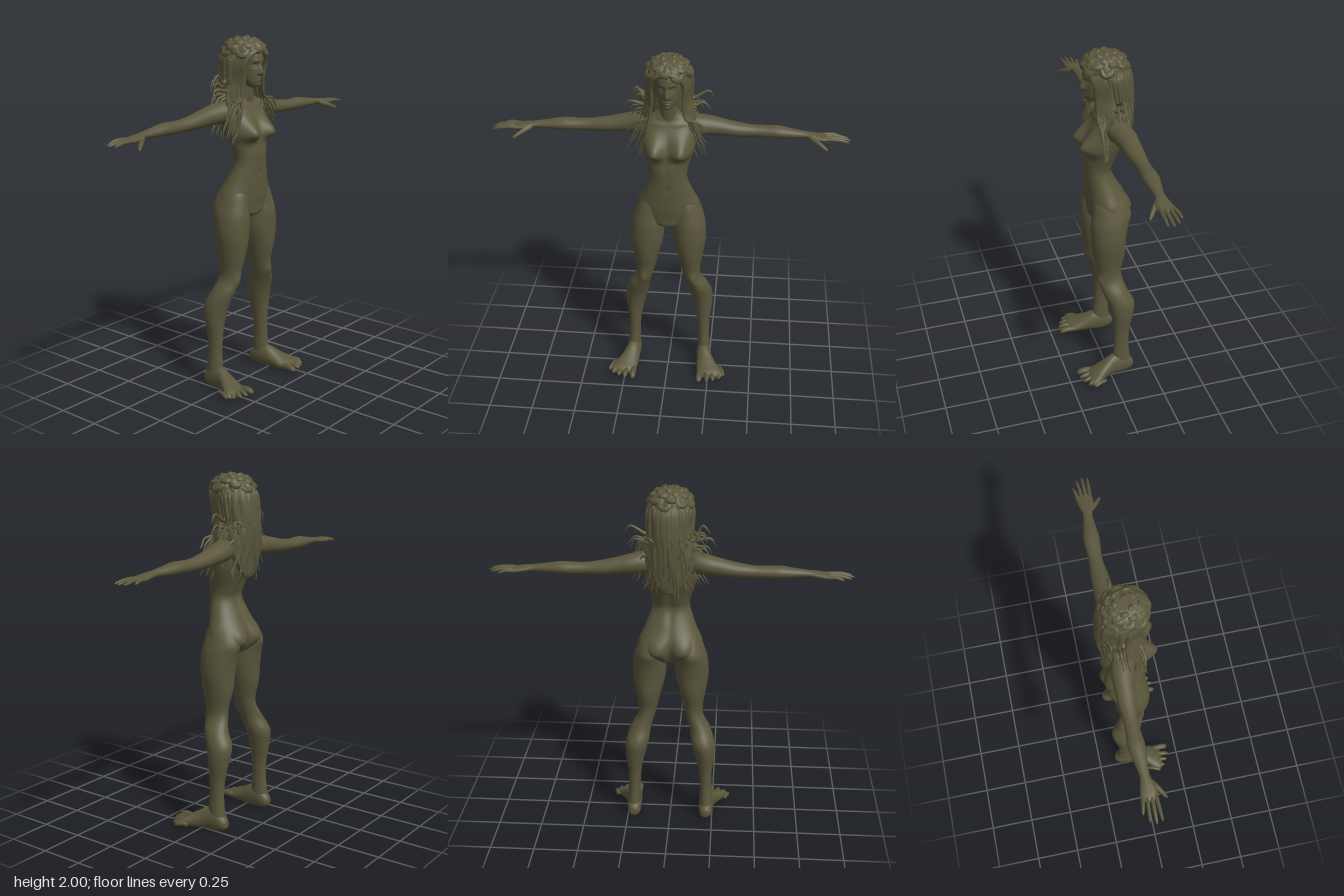
import * as THREE from 'three';
import { mergeGeometries } from 'three/addons/utils/BufferGeometryUtils.js';

const V = (x, y, z) => new THREE.Vector3(x, y, z);
const g = (d, s) => Math.exp(-(d * d) / (s * s));
// bell that falls off differently above and below its centre
const bell = (d, up, down) => g(d, d > 0 ? up : down);

let seed = 7;
const rnd = () => (seed = (seed * 16807) % 2147483647) / 2147483647;

// Closed skin over elliptical sections [x, y, z, ra, rb] rising along an axis (0 x, 1 y, 2 z).
// ra lies along the axis before it in cyclic order, rb along the one after it.
function loft(axis, rows, n = 32, steps = 40, deform) {
  const mid = new THREE.CatmullRomCurve3(rows.map(r => V(r[0], r[1], r[2])), false, 'catmullrom');
  const rad = new THREE.CatmullRomCurve3(rows.map(r => V(r[3], r[4], 0)), false, 'catmullrom');
  const A = (axis + 2) % 3, B = (axis + 1) % 3, pos = [], idx = [];
  for (let i = -1; i <= steps + 1; i++) {
    const t = Math.min(1, Math.max(0, i / steps));
    const c = mid.getPoint(t), r = rad.getPoint(t), end = i < 0 || i > steps ? 0 : 1;
    for (let j = 0; j < n; j++) {
      const a = (j / n) * Math.PI * 2, p = c.clone();
      p.setComponent(A, c.getComponent(A) + end * r.x * Math.cos(a));
      p.setComponent(B, c.getComponent(B) + end * r.y * Math.sin(a));
      if (deform && end) deform(p, c);
      pos.push(p.x, p.y, p.z);
    }
  }
  for (let i = 0; i < steps + 2; i++) for (let j = 0; j < n; j++) {
    const a = i * n + j, b = i * n + (j + 1) % n;
    idx.push(a, a + n, b, b, a + n, b + n);
  }
  const geo = new THREE.BufferGeometry();
  geo.setAttribute('position', new THREE.Float32BufferAttribute(pos, 3));
  geo.setIndex(idx);
  geo.computeVertexNormals();
  return geo;
}

// Tube along points whose radius follows a rule; flat squashes it against the head
function strand(points, radius, seg = 14, sides = 7, flat = 0) {
  const curve = new THREE.CatmullRomCurve3(points);
  const geo = new THREE.TubeGeometry(curve, seg, 1, sides, false);
  const p = geo.attributes.position, v = V(0, 0, 0);
  for (let i = 0; i <= seg; i++) {
    const c = curve.getPointAt(i / seg), r = radius(i / seg);
    const out = V(c.x, 0, c.z + 0.04).normalize();
    for (let j = 0; j <= sides; j++) {
      const k = i * (sides + 1) + j;
      v.fromBufferAttribute(p, k).sub(c).multiplyScalar(r);
      v.addScaledVector(out, -flat * v.dot(out)).add(c);
      p.setXYZ(k, v.x, v.y, v.z);
    }
  }
  geo.computeVertexNormals();
  return geo;
}

function mirror(geo) {
  const m = geo.clone().scale(-1, 1, 1), ix = m.index;
  for (let i = 0; i < ix.count; i += 3) {
    const a = ix.getX(i);
    ix.setX(i, ix.getX(i + 1));
    ix.setX(i + 1, a);
  }
  m.computeVertexNormals();
  return m;
}

export function createModel() {
  const model = new THREE.Group();
  const clay = new THREE.MeshStandardMaterial({ color: 0x5a563c });
  clay.name = 'olive clay';
  const add = (name, geo) => {
    const m = new THREE.Mesh(geo, clay);
    m.name = name;
    model.add(m);
  };
  const pair = (name, geo) => { add('left' + name, geo); add('right' + name, mirror(geo)); };

  // Torso with chest, collar bones, spine and seat shaped by soft bumps
  add('torso', loft(1, [
    [0, 0.985, -0.025, 0.02, 0.04], [0, 1.01, -0.025, 0.1, 0.085], [0, 1.06, -0.035, 0.172, 0.103],
    [0, 1.12, -0.03, 0.178, 0.107], [0, 1.2, -0.012, 0.143, 0.095], [0, 1.3, 0.012, 0.108, 0.077],
    [0, 1.36, 0.007, 0.11, 0.085], [0, 1.42, -0.008, 0.128, 0.093], [0, 1.48, -0.025, 0.145, 0.1],
    [0, 1.54, -0.04, 0.155, 0.095], [0, 1.6, -0.05, 0.16, 0.078], [0, 1.64, -0.052, 0.115, 0.063],
    [0, 1.68, -0.045, 0.06, 0.052], [0, 1.72, -0.03, 0.045, 0.047]], 72, 90, (p, c) => {
    const x = Math.abs(p.x);
    if (p.z > c.z) {
      p.z += 0.066 * g(x - 0.078, 0.052) * bell(p.y - 1.475, 0.075, 0.038);
      p.z += 0.006 * g(p.y - 1.615 - x * 0.1, 0.012) * g(x - 0.08, 0.06);
      p.z -= 0.008 * g(x, 0.012) * g(p.y - 1.255, 0.012);
      p.z -= 0.005 * g(x, 0.018) * g(p.y - 1.36, 0.08);
    } else {
      p.z -= 0.034 * g(x - 0.085, 0.065) * bell(p.y - 1.08, 0.08, 0.05);
      p.z += 0.025 * g(x, 0.018) * g(p.y - 1.06, 0.07);
      p.z += 0.012 * g(x, 0.025) * g(p.y - 1.34, 0.15);
    }
  }));

  // Legs, from ankle up into the hip
  pair('Leg', loft(1, [
    [0.215, 0.03, -0.095, 0.036, 0.045], [0.213, 0.1, -0.077, 0.037, 0.052], [0.21, 0.2, -0.075, 0.034, 0.045],
    [0.207, 0.3, -0.077, 0.039, 0.048], [0.203, 0.4, -0.082, 0.055, 0.062], [0.191, 0.49, -0.078, 0.066, 0.077],
    [0.172, 0.57, -0.045, 0.06, 0.072], [0.142, 0.64, -0.028, 0.05, 0.068], [0.131, 0.7, -0.022, 0.055, 0.07],
    [0.126, 0.8, -0.022, 0.075, 0.092], [0.122, 0.9, -0.02, 0.094, 0.1], [0.117, 1.0, -0.026, 0.094, 0.107],
    [0.11, 1.07, -0.035, 0.083, 0.105], [0.09, 1.15, -0.03, 0.07, 0.085], [0.07, 1.2, -0.02, 0.03, 0.04]],
  40, 80, (p, c) => {
    if (p.z > c.z) p.z += 0.012 * g(p.x - 0.145, 0.025) * g(p.y - 0.64, 0.04);
    else p.z -= 0.012 * g(p.x - 0.115, 0.06) * g(p.y - 1.05, 0.05);
  }));

  // Feet with a flattened sole and five splayed toes
  const foot = loft(2, [
    [0.213, 0.04, -0.148, 0.02, 0.018], [0.213, 0.045, -0.125, 0.045, 0.036], [0.214, 0.055, -0.08, 0.07, 0.042],
    [0.218, 0.055, -0.02, 0.068, 0.045], [0.235, 0.04, 0.04, 0.05, 0.058], [0.255, 0.028, 0.09, 0.036, 0.074],
    [0.266, 0.022, 0.125, 0.025, 0.074], [0.27, 0.018, 0.145, 0.012, 0.055]], 32, 32,
  p => { p.y = Math.max(p.y, 0); });
  const toes = [[0.2, 0.19, 0.02], [0.248, 0.187, 0.015], [0.286, 0.174, 0.014],
    [0.321, 0.152, 0.014], [0.348, 0.12, 0.013]].map(([x, z, r], i) =>
    strand([V(0.2 + 0.03 * i, 0.025, 0.1 - 0.012 * i), V(x - 0.004 * i, 0.029, z - 0.035), V(x, 0.018, z + 0.008)],
      t => r * Math.sqrt(Math.max(0, 1 - t ** 6)) * (0.85 + 0.15 * t), 14, 10));
  pair('Foot', foot);
  pair('Toes', mergeGeometries(toes));

  // Arms, from shoulder to palm
  pair('Arm', loft(0, [
    [0.06, 1.575, -0.06, 0.04, 0.035], [0.13, 1.588, -0.065, 0.064, 0.06], [0.2, 1.583, -0.082, 0.062, 0.056],
    [0.27, 1.573, -0.089, 0.054, 0.049], [0.36, 1.56, -0.092, 0.048, 0.041], [0.45, 1.553, -0.094, 0.038, 0.034],
    [0.52, 1.552, -0.094, 0.04, 0.034], [0.59, 1.553, -0.092, 0.044, 0.034], [0.67, 1.549, -0.088, 0.034, 0.026],
    [0.74, 1.546, -0.084, 0.026, 0.019], [0.79, 1.54, -0.08, 0.038, 0.018], [0.84, 1.535, -0.081, 0.045, 0.014],
    [0.87, 1.532, -0.083, 0.036, 0.009]], 28, 60));
  const fingers = [[-0.115, 0.93, -0.132], [-0.094, 0.973, -0.104], [-0.071, 0.99, -0.073], [-0.05, 0.98, -0.042]]
    .map(([z0, x, z]) => strand([V(0.835, 1.535, z0), V((0.85 + x) / 2, 1.537, (z0 + z) / 2), V(x, 1.526, z)],
      t => 0.0115 * (1 - 0.3 * t) * Math.sqrt(Math.max(0, 1 - t ** 8)), 14, 8));
  fingers.push(strand([V(0.77, 1.538, -0.065), V(0.81, 1.522, -0.03), V(0.862, 1.496, 0.008)],
    t => 0.018 * (1 - 0.5 * t) * Math.sqrt(Math.max(0, 1 - t ** 8)), 14, 8));
  pair('Fingers', mergeGeometries(fingers));

  // Head and face
  add('neck', loft(1, [[0, 1.6, -0.045, 0.06, 0.05], [0, 1.68, -0.03, 0.048, 0.048],
    [0, 1.78, -0.02, 0.048, 0.05]], 24, 12));
  add('head', loft(1, [
    [0, 1.722, 0.03, 0.018, 0.02], [0, 1.735, 0.022, 0.035, 0.047], [0, 1.765, 0.008, 0.054, 0.068],
    [0, 1.8, -0.005, 0.065, 0.084], [0, 1.85, -0.015, 0.073, 0.1], [0, 1.9, -0.025, 0.077, 0.11],
    [0, 1.95, -0.03, 0.06, 0.085], [0, 1.98, -0.03, 0.025, 0.04]], 80, 80, (p, c) => {
    if (p.z < c.z + 0.02) return;
    const x = Math.abs(p.x), y = p.y;
    p.z += 0.026 * g(x, 0.012 + 0.004 * g(y - 1.8, 0.012)) * bell(y - 1.802, 0.04, 0.011);
    p.z -= 0.013 * g(x - 0.029, 0.017) * g(y - 1.845, 0.014);
    p.z += 0.006 * g(x - 0.029, 0.011) * g(y - 1.842, 0.007);
    p.z += 0.005 * g(x - 0.028, 0.02) * g(y - 1.867, 0.01);
    p.z += 0.009 * g(x, 0.02) * g(y - 1.767, 0.012) - 0.007 * g(x, 0.022) * g(y - 1.768, 0.003);
    p.z += 0.008 * g(x, 0.018) * g(y - 1.738, 0.012);
  }));

  // Wavy mass of hair behind the face and down the back
  add('hairMass', loft(1, [
    [0, 1.43, -0.135, 0.03, 0.015], [0, 1.5, -0.13, 0.09, 0.035], [0, 1.6, -0.115, 0.125, 0.058],
    [0, 1.7, -0.1, 0.122, 0.08], [0, 1.8, -0.085, 0.112, 0.092], [0, 1.86, -0.062, 0.116, 0.1],
    [0, 1.905, -0.038, 0.118, 0.118], [0, 1.935, -0.03, 0.112, 0.118], [0, 1.97, -0.03, 0.085, 0.09],
    [0, 1.988, -0.03, 0.04, 0.045]], 72, 60, (p, c) => {
    const a = Math.atan2(p.z - c.z, p.x);
    const k = 1 + 0.035 * Math.sin(14 * a + 25 * p.y) + 0.02 * Math.sin(23 * a - 18 * p.y);
    p.x *= k;
    p.z = c.z + (p.z - c.z) * k;
  }));

  const lock = w => t => w * Math.min(1, 0.4 + 3 * t) * Math.pow(1 - t, 0.6);
  const locks = [], front = [], crown = [];
  // Back locks in three layers, flaring at the tips
  for (let layer = 0; layer < 3; layer++) for (let i = 0; i < 21; i++) {
    const a = -1.75 + 3.5 * (i + 0.8 * rnd()) / 21, s = Math.sin(a), c = Math.cos(a);
    const end = [1.38, 1.48, 1.6][layer] + 0.1 * rnd() + 0.06 * Math.abs(s), w = 0.05 * (rnd() - 0.5);
    const f = 0.16 + 0.09 * rnd() * Math.abs(s), top = 1.95 - 0.05 * layer * rnd();
    locks.push(strand([V(0.07 * s, top + 0.015, -0.03 - 0.07 * c), V(0.115 * s, 1.89, -0.04 - 0.115 * c),
      V(0.115 * s + w / 2, 1.78, -0.055 - 0.123 * c), V(0.13 * s - w / 2, (1.75 + end) / 2, -0.06 - 0.122 * c),
      V(f * 0.85 * s + w, end + 0.05, -0.065 - 0.095 * c), V(f * s + w * 0.5, end, -0.065 - 0.1 * c)],
    lock(0.018 + 0.006 * rnd()), 20, 7, 0.4));
  }
  add('backLocks', mergeGeometries(locks));
  // Front locks, parted at the brow and falling over the shoulders
  for (const s of [-1, 1]) for (let i = 0; i < 12; i++) {
    const t = i / 11, r = rnd(), q = rnd();
    front.push(strand([V(0.004 * s, 1.93 + 0.035 * t, 0.088 - 0.05 * t), V(0.052 * s, 1.915 + 0.03 * t, 0.08 - 0.04 * t),
      V((0.088 + 0.022 * t) * s, 1.86, 0.05 - 0.06 * t), V((0.085 + 0.03 * t) * s, 1.76, 0.035 - 0.07 * t),
      V((0.1 + 0.045 * t) * s, 1.66, 0.035 - 0.07 * t),
      V((0.11 + 0.07 * r) * s, 1.56 + 0.09 * q, 0.045 - 0.05 * t),
      V((0.14 + 0.08 * r) * s, 1.44 + 0.17 * q, 0.04 - 0.05 * t),
      V((0.16 + 0.08 * r) * s, 1.41 + 0.19 * q, 0.045 - 0.05 * t)], lock(0.016 + 0.004 * q), 26, 7, 0.35));
  }
  add('frontLocks', mergeGeometries(front));
  // Curls wound over the crown
  for (let i = 0; i < 26; i++) {
    const a = i * 2.4, k = Math.sqrt((i + 0.5) / 26), y = k => 1.905 + 0.078 * Math.sqrt(Math.max(0, 1 - k * k));
    const at = (da, dk) => {
      const q = Math.min(1, k + dk);
      return V(0.115 * q * Math.cos(a + da), y(q), -0.032 + 0.118 * q * Math.sin(a + da));
    };
    crown.push(strand([at(-0.35, -0.1 * k), at(-0.12, 0.08), at(0.15, 0.1), at(0.38, -0.05 * k)],
      t => 0.019 * Math.sqrt(Math.max(0, Math.sin(Math.PI * t))), 12, 8));
  }
  add('crownCurls', mergeGeometries(crown));
  return model;
}
